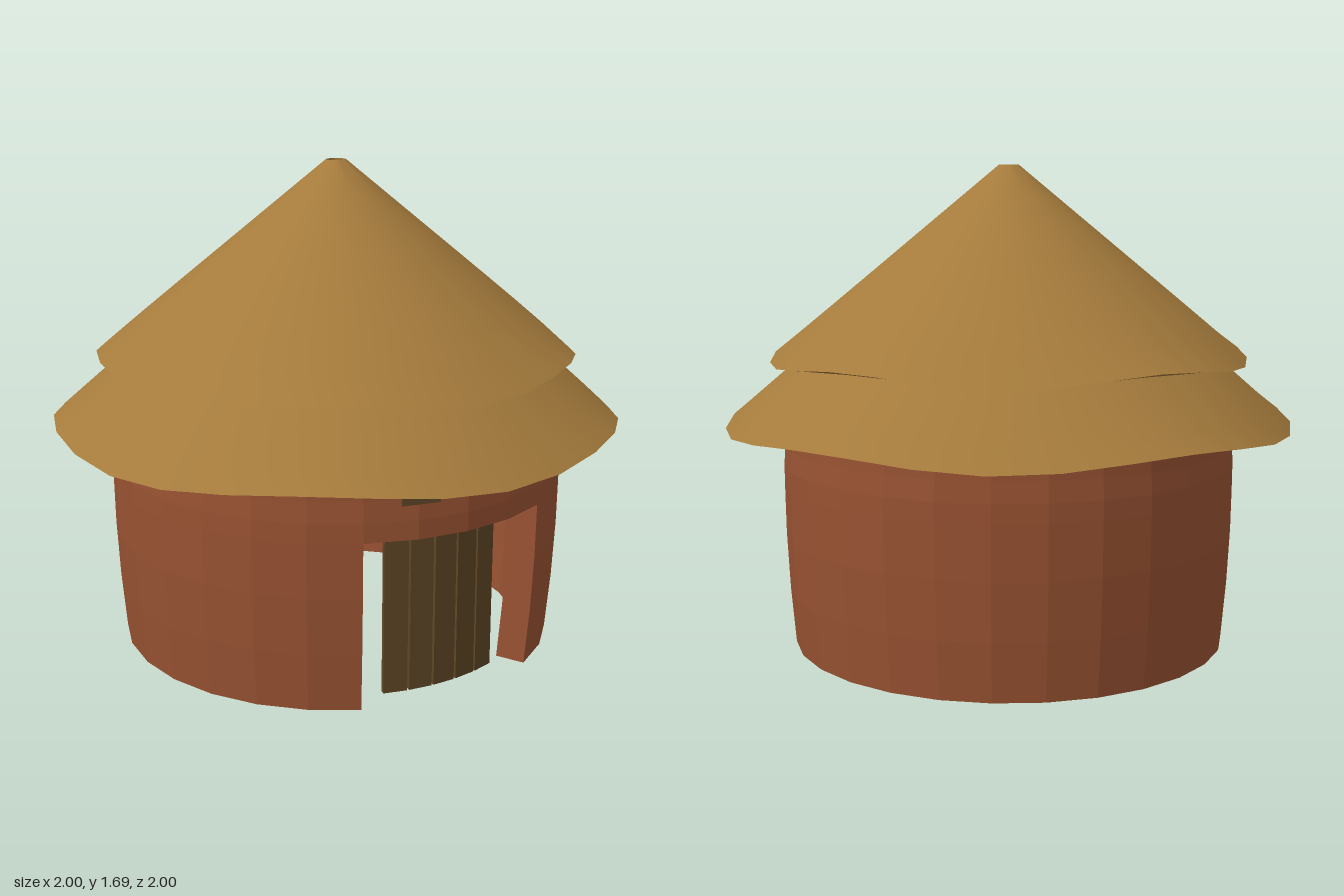
import * as THREE from 'three';
import { toCreasedNormals } from 'three/addons/utils/BufferGeometryUtils.js';

const SIDES = 28;
const STEP = (Math.PI * 2) / SIDES;

function material(name, color) {
  const m = new THREE.MeshStandardMaterial({ color });
  m.name = name;
  return m;
}

// Closed (radius, height) profile spun around y; angle 0 is the front
function spin(profile, start = 0, sides = SIDES) {
  const points = [...profile, profile[0]].map(([r, y]) => new THREE.Vector2(r, y));
  return new THREE.LatheGeometry(points, sides, start, sides * STEP);
}

function flat(geometry) {
  const g = geometry.toNonIndexed();
  g.computeVertexNormals();
  return g;
}

// Hollow thatch cone with a thick rim that rises and dips five times around
function thatch(rimR, rimY, topR, topY) {
  const outer = [];
  const inner = [];
  const rings = 8;
  const lipR = rimR - 0.07;
  for (let i = 0; i <= rings; i++) {
    const t = i / rings;
    outer.push([rimR + (topR - rimR) * t, rimY + (topY - rimY) * t]);
    inner.unshift([lipR + (topR - lipR) * t, rimY - 0.008 + (topY - 0.06 - rimY) * t]);
  }
  const g = spin([...outer, ...inner]);
  const p = g.attributes.position;
  for (let i = 0; i < p.count; i++) {
    const x = p.getX(i), z = p.getZ(i);
    const weight = Math.pow(Math.hypot(x, z) / rimR, 8);
    p.setY(i, p.getY(i) - 0.017 * weight * Math.cos(5 * Math.atan2(x, z)));
  }
  return toCreasedNormals(g, 0.6);
}

export function createModel() {
  const group = new THREE.Group();
  const clay = material('clay', 0x985232);
  const straw = material('straw', 0xa57b3c);
  const wood = material('dark wood', 0x5f4626);

  function add(name, geometry, mat) {
    const mesh = new THREE.Mesh(geometry, mat);
    mesh.name = name;
    group.add(mesh);
    return mesh;
  }

  // Barrel-shaped lower wall, open for two sides either way of the front
  const lower = [
    [0.77, 0], [0.787, 0.2], [0.797, 0.4], [0.8, 0.585],
    [0.695, 0.585], [0.692, 0.4], [0.682, 0.2], [0.665, 0],
  ];
  add('lowerWall', flat(spin(lower, 2 * STEP, SIDES - 4)), clay);

  // Door jambs closing the cut ends of the wall
  const section = new THREE.Shape(lower.map(([r, y]) => new THREE.Vector2(r, y)));
  for (const side of [1, -1]) {
    const jamb = new THREE.ShapeGeometry(section).rotateY(2 * STEP - Math.PI / 2);
    add(side > 0 ? 'leftJamb' : 'rightJamb', jamb, clay).scale.x = side;
  }

  // Full ring above the doorway
  const upper = [
    [0.8, 0.585], [0.8, 0.65], [0.795, 0.72], [0.79, 0.91],
    [0.685, 0.91], [0.69, 0.72], [0.695, 0.585],
  ];
  add('upperWall', flat(spin(upper)), clay);

  // Door planks set along an arc
  for (let i = -2; i <= 2; i++) {
    const a = i * 0.1325;
    const plank = add('doorPlank', new THREE.BoxGeometry(0.083, 0.59, 0.02), wood);
    plank.position.set(Math.sin(a) * 0.675, 0.305, Math.cos(a) * 0.675);
    plank.rotation.y = a;
  }

  // Small wooden blocks above the door
  for (const side of [1, -1]) {
    const a = side * 0.213;
    const block = add('wallBlock', new THREE.BoxGeometry(0.13, 0.052, 0.04), wood);
    block.position.set(Math.sin(a) * 0.779, 0.727, Math.cos(a) * 0.779);
    block.rotation.y = a;
  }

  // Two overlapping thatch tiers, the upper with a smoke hole
  add('lowerRoof', thatch(1.0, 0.793, 0.5, 1.225), straw);
  add('upperRoof', thatch(0.842, 1.022, 0.035, 1.69), straw);

  return group;
}
